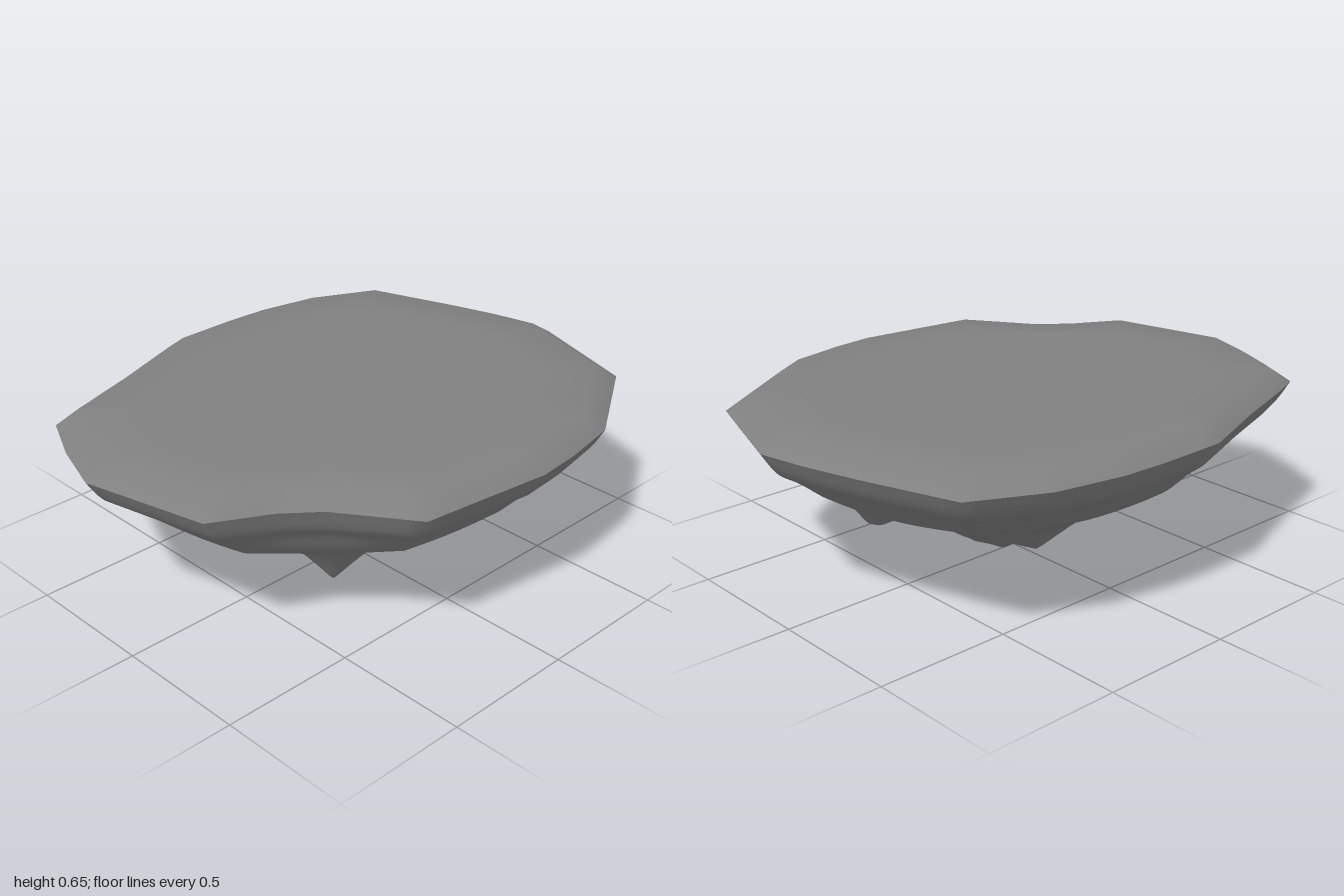
import * as THREE from 'three';

// Rim outline as [x, z], clockwise from above
const OUTLINE = [
  [-0.16, -0.82], [0.1, -0.82], [0.27, -0.81], [0.52, -0.76], [0.78, -0.63], [0.9, -0.28], [0.96, -0.08],
  [1, 0.1], [0.86, 0.53], [0.49, 0.76], [0.27, 0.8], [0.1, 0.815], [-0.39, 0.75], [-0.57, 0.49],
  [-0.69, 0.39], [-0.89, 0.28], [-1, -0.18], [-0.93, -0.39], [-0.84, -0.58], [-0.71, -0.63], [-0.46, -0.71],
];

// Hanging rock points: x, z, depth, radius
const SPIKES = [
  [0.05, 0, 0.085, 0.15],
  [0.18, 0.02, 0.03, 0.13],
  [-0.2, 0.13, 0.125, 0.15],
  [0.54, 0.14, 0.11, 0.13],
  [0.07, -0.2, 0.05, 0.14],
  [0.32, -0.31, 0.04, 0.13],
];

// Outline with each straight edge split into equal steps
function subdivide(points, steps) {
  const out = [];
  points.forEach(([x, z], i) => {
    const [nx, nz] = points[(i + 1) % points.length];
    for (let k = 0; k < steps; k++) out.push([x + ((nx - x) * k) / steps, z + ((nz - z) * k) / steps]);
  });
  return out;
}

// Skins a list of rings (each a list of [x, y, z]), outer ring first
function skin(rings, facingUp) {
  const n = rings[0].length;
  const index = [];
  for (let i = 0; i < rings.length - 1; i++) {
    for (let j = 0; j < n; j++) {
      const a = i * n + j, b = i * n + ((j + 1) % n), c = a + n, d = b + n;
      if (facingUp) index.push(a, c, b, b, c, d);
      else index.push(a, b, c, b, d, c);
    }
  }
  const geo = new THREE.BufferGeometry();
  geo.setAttribute('position', new THREE.Float32BufferAttribute(rings.flat(2), 3));
  geo.setIndex(index);
  geo.computeVertexNormals();
  return geo;
}

// Underside point: scaled outline whose corners soften inward, plus the hanging points
function undersidePoint([x, z], s, y) {
  const angle = Math.atan2(z / 0.82, x / 0.97);
  const soften = 0.9 * THREE.MathUtils.smoothstep(1 - s, 0, 0.5);
  const px = s * THREE.MathUtils.lerp(x, 0.97 * Math.cos(angle), soften);
  const pz = s * THREE.MathUtils.lerp(z, 0.82 * Math.sin(angle), soften);
  let py = y;
  for (const [sx, sz, depth, radius] of SPIKES) {
    const t = Math.max(0, 1 - Math.hypot(px - sx, pz - sz) / radius);
    py -= depth * t * (0.7 + 0.3 * t);
  }
  return [px, Math.max(0, py), pz];
}

export function createModel() {
  const group = new THREE.Group();
  group.name = 'floatingIsland';
  const material = new THREE.MeshStandardMaterial({ color: 0x808080 });
  const outline = subdivide(OUTLINE, 5);

  // Flat ground with a bevelled edge
  const topRings = [[1, 0.597], [0.91, 0.655], [0.72, 0.655], [0.4, 0.655], [0, 0.655]].map(
    ([s, y]) => outline.map(([x, z]) => [x * s, y, z * s]));
  const ground = new THREE.Mesh(skin(topRings, true), material);
  ground.name = 'ground';

  // Tapering rock below the rim
  const profile = new THREE.SplineCurve([
    [1, 0.597], [0.945, 0.515], [0.87, 0.46], [0.76, 0.37], [0.62, 0.305], [0.48, 0.24],
    [0.36, 0.18], [0.24, 0.12], [0.12, 0.095], [0, 0.085],
  ].map(([s, y]) => new THREE.Vector2(s, y)));
  const rockRings = profile.getPoints(60).map((p) => outline.map((o) => undersidePoint(o, p.x, p.y)));
  const rock = new THREE.Mesh(skin(rockRings, false), material);
  rock.name = 'rockUnderside';

  group.add(ground, rock);
  return group;
}
